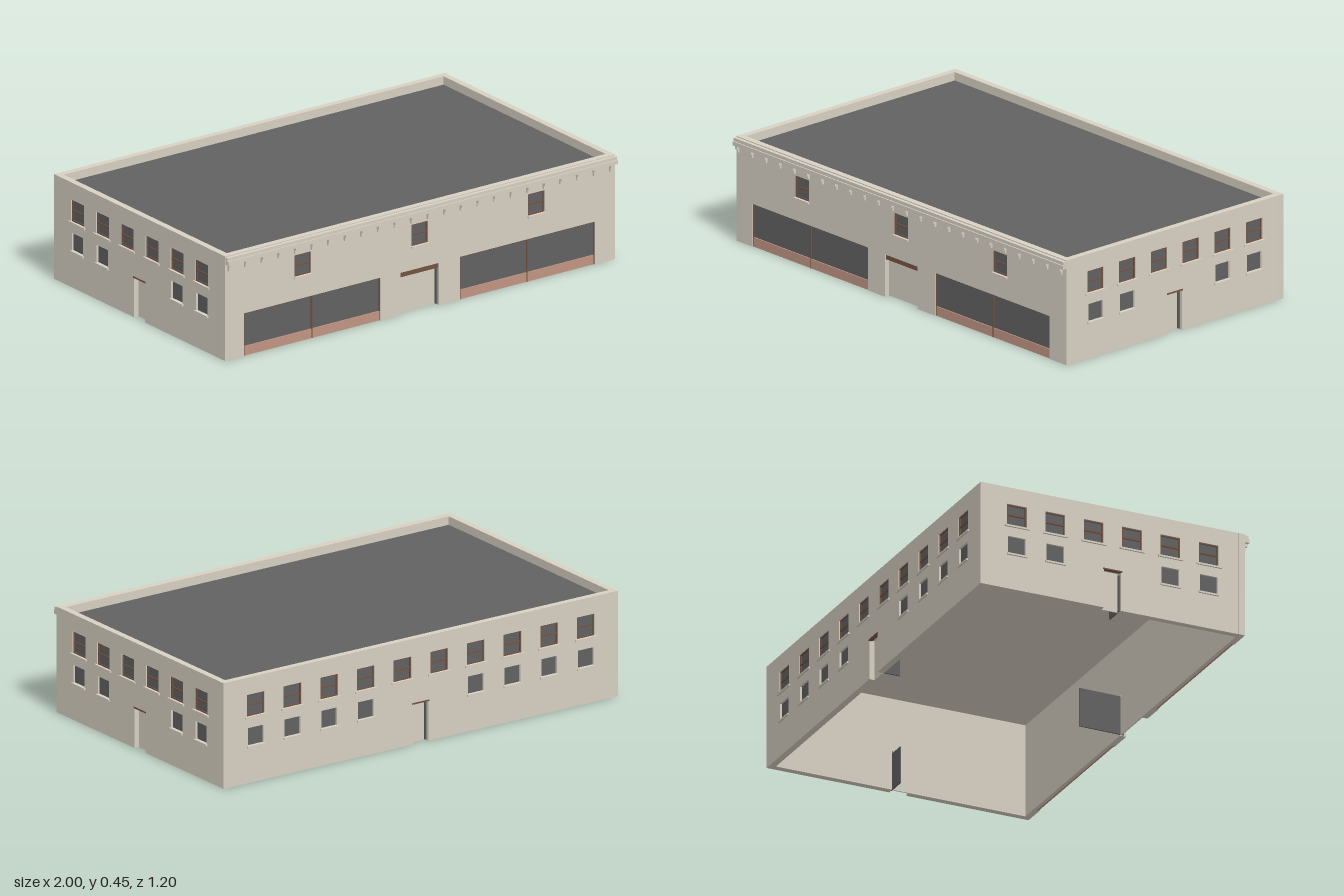
import * as THREE from 'three';

const HEIGHT = 0.45, SKIN = 0.012, THICK = 0.028;

const mat = (name, color) => {
  const m = new THREE.MeshStandardMaterial({ color });
  m.name = name;
  return m;
};

export function createModel() {
  const stone = mat('stone', 0xd7d0c2);
  const grey = mat('slate grey', 0x616161);
  const brown = mat('brown trim', 0x735242);
  const terracotta = mat('terracotta', 0xc09482);

  const model = new THREE.Group();
  model.name = 'building';

  // box given by its left, right, bottom, top, back and front limits
  function box(parent, name, material, l, r, b, t, z0, z1) {
    const mesh = new THREE.Mesh(new THREE.BoxGeometry(r - l, t - b, z1 - z0), material);
    mesh.position.set((l + r) / 2, (b + t) / 2, (z0 + z1) / 2);
    mesh.name = name;
    parent.add(mesh);
  }

  // one layer of a wall: notches reach the ground, holes do not
  function layer(parent, name, half, notches, holes, z0, depth) {
    const s = new THREE.Shape();
    s.moveTo(-half, 0);
    for (const [l, r, h] of notches) {
      s.lineTo(l, 0); s.lineTo(l, h); s.lineTo(r, h); s.lineTo(r, 0);
    }
    s.lineTo(half, 0); s.lineTo(half, HEIGHT); s.lineTo(-half, HEIGHT); s.closePath();
    for (const [l, r, b, t] of holes) {
      const p = new THREE.Path();
      p.moveTo(l, b); p.lineTo(l, t); p.lineTo(r, t); p.lineTo(r, b); p.closePath();
      s.holes.push(p);
    }
    const geo = new THREE.ExtrudeGeometry(s, { depth, bevelEnabled: false });
    const mesh = new THREE.Mesh(geo, stone);
    mesh.position.z = z0;
    mesh.name = name;
    parent.add(mesh);
  }

  // recessed window with optional sash frame and a projecting sill
  function addWindow(g, { rect: [l, r, b, t], framed, sill }) {
    box(g, 'windowGlass', grey, l, r, b, t, -SKIN, -SKIN + 0.003);
    if (framed) {
      const f = 0.005, z0 = -SKIN, z1 = -0.004, mid = (b + t) / 2;
      box(g, 'windowFrame', brown, l, l + f, b, t, z0, z1);
      box(g, 'windowFrame', brown, r - f, r, b, t, z0, z1);
      box(g, 'windowFrame', brown, l + f, r - f, t - f, t, z0, z1);
      box(g, 'windowFrame', brown, l + f, r - f, b, b + f, z0, z1);
      box(g, 'windowRail', brown, l + f, r - f, mid - 0.003, mid + 0.003, z0, z1);
    }
    box(g, 'windowSill', stone, l - sill, r + sill, b - 0.008, b, -SKIN, 0.007);
  }

  // wall from a to b (left to right from outside), local +z outward
  function wall(name, a, b, door, shops, windows) {
    const g = new THREE.Group();
    g.name = name;
    const dx = b[0] - a[0], dz = b[1] - a[1];
    g.position.set((a[0] + b[0]) / 2, 0, (a[1] + b[1]) / 2);
    g.rotation.y = Math.atan2(-dz, dx);
    const half = Math.hypot(dx, dz) / 2;
    const notches = [door, ...shops].sort((p, q) => p[0] - q[0]);
    layer(g, 'outerWall', half, notches, windows.map(w => w.rect), -SKIN, SKIN);
    layer(g, 'innerWall', half, [door], [], -THICK, THICK - SKIN);
    for (const w of windows) addWindow(g, w);
    // pale panel closing the doorway, and a grey leaf standing open inside
    const [l, r, h] = door;
    box(g, 'doorPanel', stone, l, r - 0.006, 0, h, -THICK, -THICK + 0.005);
    box(g, 'doorLeaf', grey, r - 0.006, r, 0.003, h - 0.01, -THICK - (r - l) * 0.95, -0.012);
    model.add(g);
    return g;
  }

  const upper = (u, half, sill) => ({ rect: [u - half, u + half, 0.283, 0.376], framed: true, sill });
  const lower = u => ({ rect: [u - 0.039, u + 0.039, 0.158, 0.234], framed: false, sill: 0.006 });

  // wall corners: the plan is slightly skewed
  const FL = [-0.995, 0.58], FR = [0.972, 0.58], BR = [0.993, -0.588], BL = [-0.972, -0.598];

  // shop front
  const shops = [[-0.888, -0.199, 0.184], [0.202, 0.882, 0.184]];
  const front = wall('frontWall', FL, FR, [-0.098, 0.096, 0.182], shops,
    [-0.592, -0.002, 0.587].map(u => upper(u, 0.042, 0.002)));
  for (const [l, r, h] of shops) {
    const f = 0.004, m = (l + r) / 2, z0 = -SKIN, z1 = -0.005;
    box(front, 'shopGlass', grey, l, r, 0.04, h, z0, -0.009);
    box(front, 'shopBasePanel', terracotta, l, r, 0, 0.04, z0, -0.004);
    for (const u of [l, m - f / 2, r - f]) box(front, 'shopMullion', brown, u, u + f, 0, h, z0, z1 + 0.002);
    box(front, 'shopHeadFrame', brown, l, r, h - f, h, z0, z1);
  }
  box(front, 'doorTransom', brown, -0.098, 0.096, 0.16, 0.182, -0.02, -0.006);

  // cornice steps and brackets
  box(front, 'corniceUpper', stone, -0.983, 0.983, 0.432, 0.446, -0.01, 0.015);
  box(front, 'corniceLower', stone, -0.983, 0.983, 0.415, 0.432, -0.01, 0.02);
  for (let i = 0; i < 24; i++) {
    const u = -0.968 + i * 0.0837;
    box(front, 'corniceBracket', stone, u - 0.005, u + 0.005, 0.4, 0.415, -0.002, 0.016);
    box(front, 'corniceBracket', stone, u - 0.004, u + 0.004, 0.385, 0.4, -0.002, 0.009);
  }

  // side and back walls: evenly spaced windows, ground floor left open round the door
  function plainWall(name, a, b, count, pitch) {
    const windows = [];
    for (let i = 0; i < count; i++) {
      const u = (i - (count - 1) / 2) * pitch;
      windows.push(upper(u, 0.044, 0.011));
      if (Math.abs(u) > pitch) windows.push(lower(u));
    }
    const g = wall(name, a, b, [-0.039, 0.037, 0.172], [], windows);
    box(g, 'doorLintel', brown, -0.043, 0.041, 0.17, 0.176, -SKIN, 0.003);
  }
  plainWall('rightSideWall', FR, BR, 6, 0.171);
  plainWall('backWall', BR, BL, 10, 0.1825);
  plainWall('leftSideWall', BL, FL, 6, 0.171);

  // flat roof sunk behind the parapet, with a pale ceiling beneath
  const inset = 0.014;
  const plan = [FL, FR, BR, BL].map(([x, z]) =>
    new THREE.Vector2(x - Math.sign(x) * inset, -(z - Math.sign(z) * inset)));
  function slab(name, material, y, depth) {
    const mesh = new THREE.Mesh(
      new THREE.ExtrudeGeometry(new THREE.Shape(plan), { depth, bevelEnabled: false }), material);
    mesh.rotation.x = -Math.PI / 2;
    mesh.position.y = y;
    mesh.name = name;
    model.add(mesh);
  }
  slab('ceiling', stone, 0.405, 0.005);
  slab('roof', grey, 0.41, 0.004);

  return model;
}
